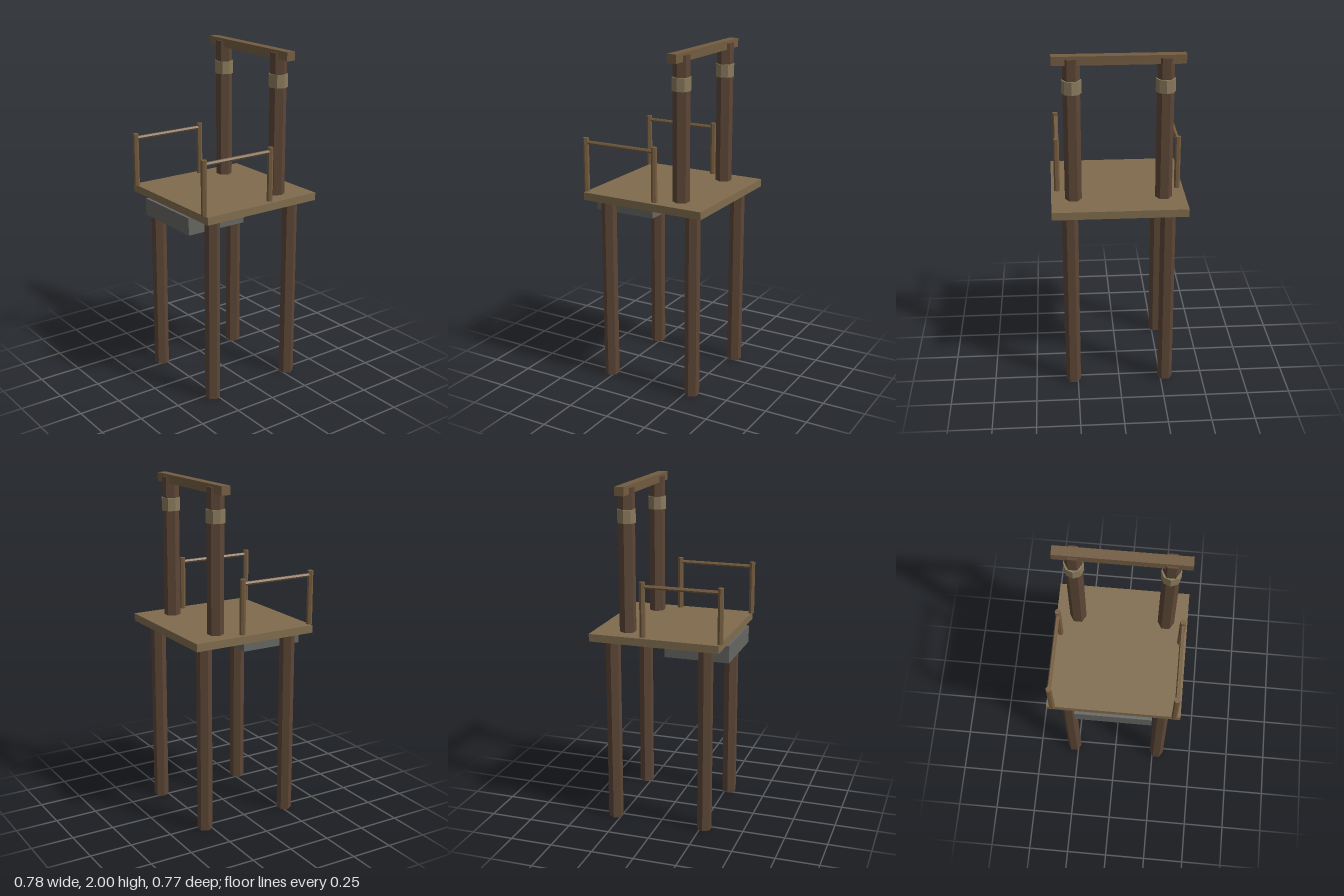
import * as THREE from 'three';

export function createModel() {
  const model = new THREE.Group();
  const mat = (color) => new THREE.MeshStandardMaterial({ color, flatShading: true });
  const darkWood = mat(0x5c4636), deckWood = mat(0x806c4d), beamWood = mat(0x735c41);
  const railWood = mat(0x765d40), rope = mat(0x8a7a5c), metal = mat(0x656562);

  const add = (name, geometry, material, x, y, z) => {
    const mesh = new THREE.Mesh(geometry, material);
    mesh.name = name;
    mesh.position.set(x, y, z);
    model.add(mesh);
    return mesh;
  };
  // Box given by its minimum and maximum on each axis
  const box = (name, material, [x0, x1], [y0, y1], [z0, z1]) =>
    add(name, new THREE.BoxGeometry(x1 - x0, y1 - y0, z1 - z0), material,
      (x0 + x1) / 2, (y0 + y1) / 2, (z0 + z1) / 2);
  // Upright prism between two heights
  const post = (name, material, radius, sides, x, y0, y1, z) =>
    add(name, new THREE.CylinderGeometry(radius, radius, y1 - y0, sides), material, x, (y0 + y1) / 2, z);

  // Deck, the box hung under it and the crossbeam
  box('platform', deckWood, [-0.375, 0.39], [1.119, 1.164], [-0.384, 0.382]);
  box('underBox', metal, [-0.392, -0.01], [1.018, 1.119], [-0.224, 0.222]);
  box('crossbeam', beamWood, [0.171, 0.226], [1.95, 2], [-0.367, 0.364]);

  for (const side of [-1, 1]) {
    const label = side > 0 ? 'Front' : 'Back';
    // Legs
    for (const x of [-0.272, 0.285]) post('leg' + label, darkWood, 0.044, 6, x, 0, 1.119, side * 0.277);

    // Tall uprights with their bindings
    post('upright' + label, darkWood, 0.048, 6, 0.199, 1.164, 1.985, side * 0.257 - 0.001);
    post('binding' + label, rope, 0.055, 8, 0.199, 1.79, 1.865, side * 0.257 - 0.001);

    // Guard rails
    const z = side * 0.348 - 0.001;
    for (const x of [-0.375, 0.078]) post('railPost' + label, railWood, 0.017, 6, x, 1.164, 1.48, z);
    const rail = add('rail' + label, new THREE.CylinderGeometry(0.0115, 0.0115, 0.453, 6), railWood, -0.1485, 1.454, z);
    rail.rotation.z = Math.PI / 2;
  }
  return model;
}
